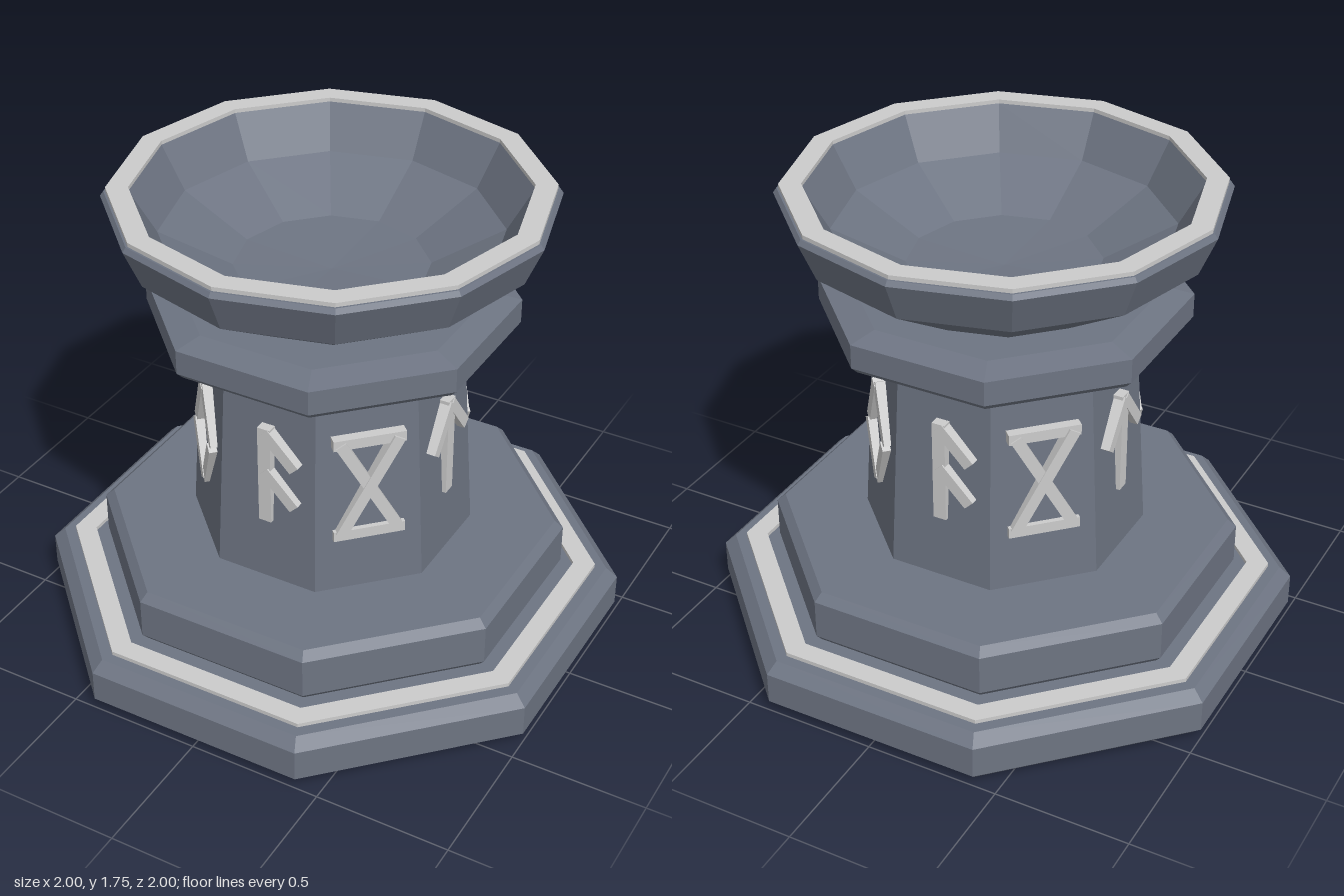
import * as THREE from 'three';

const stone = new THREE.MeshStandardMaterial({ color: 0x6d7482, flatShading: true });
const inlay = new THREE.MeshStandardMaterial({ color: 0xcccccc, flatShading: true });

// Faceted solid of revolution from [radius, y] pairs, listed from the bottom outwards and up
function turned(name, profile, sides, material, phase = 0) {
  const points = profile.map(([r, y]) => new THREE.Vector2(r, y));
  const mesh = new THREE.Mesh(new THREE.LatheGeometry(points, sides, phase), material);
  mesh.name = name;
  return mesh;
}

// Octagon with flat sides on the axes; radii are given to the middle of a side
function octagon(name, profile, material) {
  const k = 1 / Math.cos(Math.PI / 8);
  return turned(name, profile.map(([r, y]) => [r * k, y]), 8, material, Math.PI / 8);
}

// Strokes of the four carved signs: [x1, y1, x2, y2, width]
const W = 0.05;
const signs = {
  branchSign: [[0, 0.65, 0, 1.04, W], [0, 1.025, 0.12, 0.905, 0.045], [0, 0.865, 0.12, 0.745, 0.045]],
  hourglassSign: [
    [-0.13, 1.02, 0.13, 1.02, 0.04], [-0.13, 0.637, 0.13, 0.637, 0.04],
    [-0.105, 1.02, 0.105, 0.64, 0.042], [0.105, 1.02, -0.105, 0.64, 0.042],
  ],
  arrowSign: [[0, 0.65, 0, 1.04, W], [0, 1.025, 0.12, 0.87, 0.042], [0, 1.025, -0.12, 0.87, 0.042]],
  diamondSign: [
    [0, 1.035, 0.105, 0.83, 0.042], [0, 1.035, -0.105, 0.83, 0.042],
    [0, 0.63, 0.105, 0.83, 0.042], [0, 0.63, -0.105, 0.83, 0.042],
  ],
};

function carvedSign(name) {
  const sign = new THREE.Group();
  sign.name = name;
  signs[name].forEach(([x1, y1, x2, y2, width], i) => {
    const length = Math.hypot(x2 - x1, y2 - y1);
    const stroke = new THREE.Mesh(new THREE.BoxGeometry(width, length, 0.05), inlay);
    // Tiny steps in depth keep crossing strokes apart
    stroke.position.set((x1 + x2) / 2, (y1 + y2) / 2, 0.456 + i * 0.003);
    stroke.rotation.z = Math.atan2(x1 - x2, y2 - y1);
    stroke.name = 'stroke';
    sign.add(stroke);
  });
  return sign;
}

export function createModel() {
  const model = new THREE.Group();
  model.name = 'stoneFont';

  // Stepped base
  model.add(octagon('lowerStep',
    [[0, 0], [0.96, 0], [1, 0.04], [1, 0.16], [0.96, 0.2], [0, 0.2]], stone));
  model.add(octagon('stepInlay',
    [[0.845, 0.19], [0.92, 0.19], [0.92, 0.215], [0.845, 0.215], [0.845, 0.19]], inlay));
  model.add(octagon('upperStep',
    [[0, 0.2], [0.78, 0.2], [0.8, 0.225], [0.8, 0.375], [0.77, 0.405], [0, 0.405]], stone));

  // Tapered pillar and its capital
  model.add(octagon('pillar', [[0, 0.4], [0.48, 0.4], [0.433, 1.24], [0, 1.24]], stone));
  model.add(octagon('capital',
    [[0, 1.235], [0.59, 1.235], [0.613, 1.26], [0.613, 1.35], [0.52, 1.373], [0, 1.373]], stone));

  // Hollow bowl with an inlaid rim
  model.add(turned('bowl', [
    [0, 1.368], [0.4, 1.368], [0.725, 1.575], [0.787, 1.72], [0.775, 1.737],
    [0.69, 1.737], [0.6, 1.58], [0.345, 1.45], [0, 1.43],
  ], 12, stone));
  model.add(turned('rimInlay',
    [[0.69, 1.73], [0.768, 1.73], [0.768, 1.752], [0.69, 1.752], [0.69, 1.73]], 12, inlay));

  // One sign on each side of the pillar, the set of four repeating
  const names = Object.keys(signs);
  for (let i = 0; i < 8; i++) {
    const sign = carvedSign(names[i % 4]);
    sign.rotation.y = (i * Math.PI) / 4;
    model.add(sign);
  }
  return model;
}
